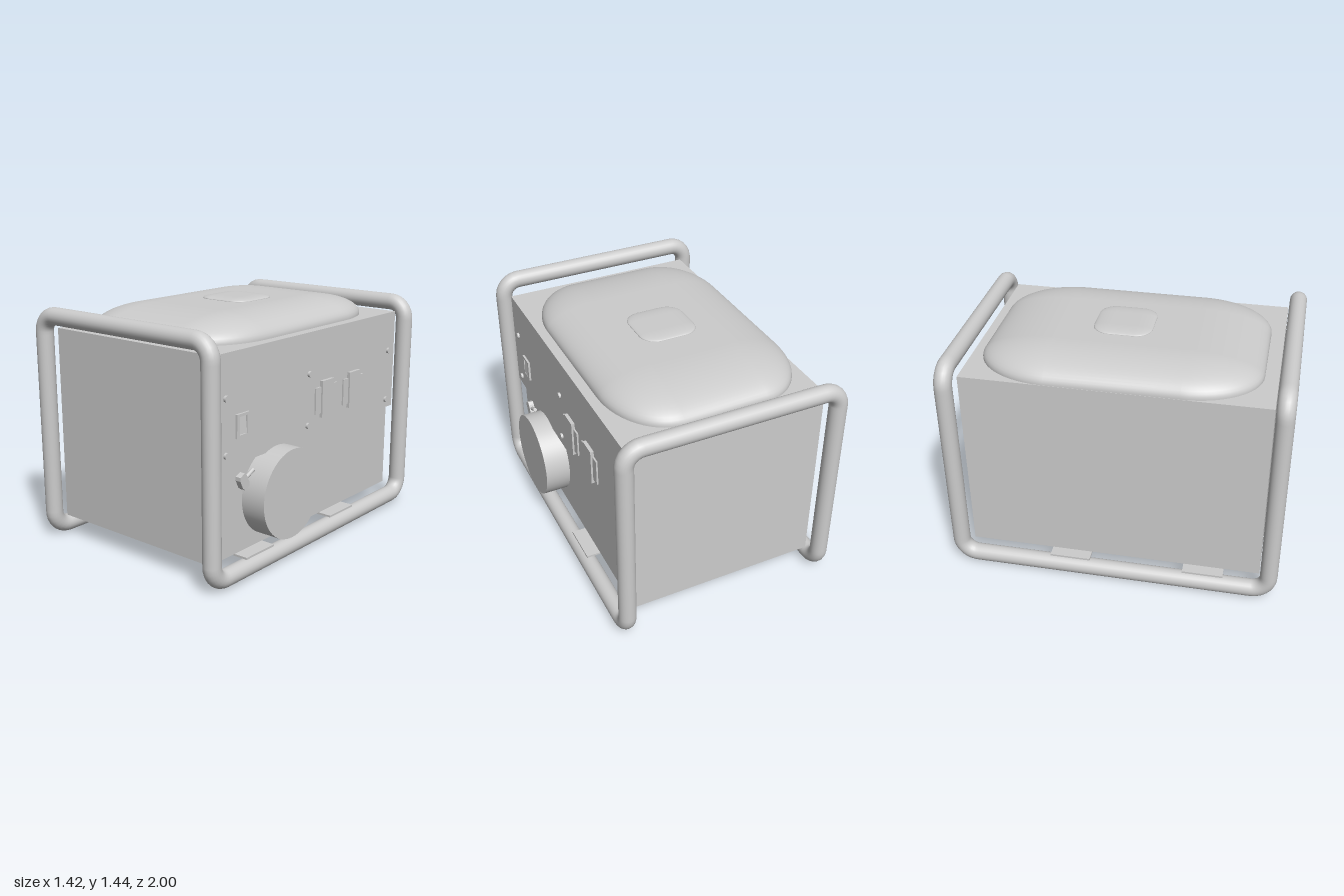
import * as THREE from 'three';

const grey = new THREE.MeshStandardMaterial({ color: 0xcccccc });
grey.name = 'plain grey';

function add(group, name, geometry) {
  const mesh = new THREE.Mesh(geometry, grey);
  mesh.name = name;
  group.add(mesh);
  return mesh;
}

// Box given by its minimum and maximum corners
function block(group, name, [x0, y0, z0], [x1, y1, z1]) {
  const mesh = add(group, name, new THREE.BoxGeometry(x1 - x0, y1 - y0, z1 - z0));
  mesh.position.set((x0 + x1) / 2, (y0 + y1) / 2, (z0 + z1) / 2);
  return mesh;
}

// Cylinder lying along x, from x0 to x1
function disc(group, name, r, x0, x1, y, z, sides) {
  const mesh = add(group, name, new THREE.CylinderGeometry(r, r, x1 - x0, sides));
  mesh.rotation.z = -Math.PI / 2;
  mesh.position.set((x0 + x1) / 2, y, z);
  return mesh;
}

// Closed path with rounded corners
function roundedLoop(points, r) {
  const path = new THREE.CurvePath();
  const n = points.length;
  const toward = (a, b, d) => a.clone().add(b.clone().sub(a).setLength(d));
  points.forEach((p, i) => {
    const prev = points[(i + n - 1) % n], next = points[(i + 1) % n];
    path.add(new THREE.CubicBezierCurve3(
      toward(p, prev, r), toward(p, prev, r * 0.45), toward(p, next, r * 0.45), toward(p, next, r)));
    path.add(new THREE.LineCurve3(toward(p, next, r), toward(next, p, r)));
  });
  return path;
}

// Cushion-shaped dome: rounded-rectangle rings shrinking along an elliptical edge
function domeGeometry(hx, hz, rx, rz, skirt, height) {
  const positions = [], index = [], corner = 14, steps = 14, n = 4 * (corner + 1);
  const ring = (t, y) => {
    for (let q = 0; q < 4; q++) {
      const sx = q === 0 || q === 3 ? 1 : -1, sz = q < 2 ? 1 : -1;
      for (let k = 0; k <= corner; k++) {
        const a = (q + k / corner) * Math.PI / 2;
        positions.push(
          sx * (hx - rx) + rx * Math.cos(t) * Math.cos(a), y,
          sz * (hz - rz) + rz * Math.cos(t) * Math.sin(a));
      }
    }
  };
  ring(0, 0);
  for (let i = 0; i <= steps; i++) {
    const t = (i / steps) * Math.PI / 2;
    ring(t, skirt + height * Math.sin(t));
  }
  for (let i = 0; i <= steps; i++) {
    for (let j = 0; j < n; j++) {
      const a = i * n + j, b = i * n + (j + 1) % n;
      index.push(a, a + n, b, b, a + n, b + n);
    }
  }
  // flat top
  const last = (steps + 1) * n, centre = positions.length / 3;
  positions.push(0, skirt + height, 0);
  for (let j = 0; j < n; j++) index.push(last + j, centre, last + (j + 1) % n);
  const g = new THREE.BufferGeometry();
  g.setAttribute('position', new THREE.Float32BufferAttribute(positions, 3));
  g.setIndex(index);
  g.computeVertexNormals();
  return g;
}

export function createModel() {
  const model = new THREE.Group();
  model.name = 'portableGenerator';

  // Tubular carrying frame: one continuous bent pipe
  const L = -0.661, R = 0.624, F = 0.947, B = -0.947;
  const corners = [
    [L, 0.058, F], [L, 1.377, F], [R, 1.377, F], [R, 0.066, F],
    [R, 0.066, B], [R, 1.343, B], [L, 1.343, B], [L, 0.058, B],
  ].map(p => new THREE.Vector3(...p));
  add(model, 'tubeFrame', new THREE.TubeGeometry(roundedLoop(corners, 0.1), 480, 0.052, 24, true));

  // Housing, with the upper part standing out on the control side
  block(model, 'lowerHousing', [-0.612, 0.13, -0.88], [0.555, 0.672, 0.89]);
  block(model, 'upperHousing', [-0.612, 0.672, -0.88], [0.595, 1.295, 0.89]);

  // Mounting strips between housing and bottom rails
  for (const z of [0.555, -0.255]) {
    block(model, 'mountingStrip', [-0.68, 0.117, z - 0.122], [0.64, 0.129, z + 0.122]);
  }

  // Fuel tank and cap
  add(model, 'fuelTank', domeGeometry(0.573, 0.814, 0.32, 0.43, 0.02, 0.125)).position.set(-0.037, 1.28, -0.004);
  add(model, 'fuelCap', domeGeometry(0.175, 0.173, 0.1, 0.1, 0.008, 0.016)).position.set(-0.024, 1.418, -0.032);

  // Recoil starter drum
  disc(model, 'recoilStarter', 0.264, 0.55, 0.71, 0.43, 0.352, 64);

  // Pull cord and grip
  const pull = new THREE.Group();
  pull.name = 'pullHandle';
  pull.position.set(0.6, 0.565, 0.665);
  pull.rotation.x = 0.45;
  const cord = add(pull, 'pullCord', new THREE.CylinderGeometry(0.012, 0.012, 0.1, 12));
  cord.rotation.x = Math.PI / 2;
  cord.position.z = -0.05;
  const gripShape = new THREE.Shape([
    [-0.02, -0.045], [0.02, -0.045], [0.03, -0.025], [0.03, 0.025],
    [0.02, 0.045], [-0.02, 0.045], [-0.03, 0.025], [-0.03, -0.025],
  ].map(p => new THREE.Vector2(...p)));
  const grip = add(pull, 'pullGrip', new THREE.ExtrudeGeometry(gripShape, { depth: 0.034, bevelEnabled: false }));
  grip.rotation.y = Math.PI / 2;
  grip.position.x = -0.017;
  model.add(pull);

  // Panel screws
  const screws = [[0.8, 1.054], [0.8, 0.742], [0.055, 1.05], [0.065, 0.742], [-0.806, 1.05], [-0.798, 0.728]];
  for (const [z, y] of screws) disc(model, 'panelScrew', 0.018, 0.59, 0.609, y, z, 24);

  // Power switch: raised bezel around a rocker
  const bezel = new THREE.Shape([[-0.053, -0.067], [0.053, -0.067], [0.053, 0.067], [-0.053, 0.067]]
    .map(p => new THREE.Vector2(...p)));
  bezel.holes.push(new THREE.Path([[-0.032, -0.051], [-0.032, 0.051], [0.032, 0.051], [0.032, -0.051]]
    .map(p => new THREE.Vector2(...p))));
  const frame = add(model, 'switchBezel', new THREE.ExtrudeGeometry(bezel, { depth: 0.014, bevelEnabled: false }));
  frame.rotation.y = Math.PI / 2;
  frame.position.set(0.594, 0.884, 0.667);
  const rocker = block(model, 'switchRocker', [0.585, 0.836, 0.637], [0.603, 0.932, 0.697]);
  rocker.rotation.z = 0.1;

  // Power outlets: wide back plate with a tall raised cover
  for (const z of [-0.112, -0.4]) {
    block(model, 'outletPlate', [0.59, 0.792, z - 0.109], [0.605, 0.954, z + 0.109]);
    block(model, 'outletCover', [0.59, 0.767, z - 0.057], [0.616, 0.99, z + 0.057]);
  }

  return model;
}
